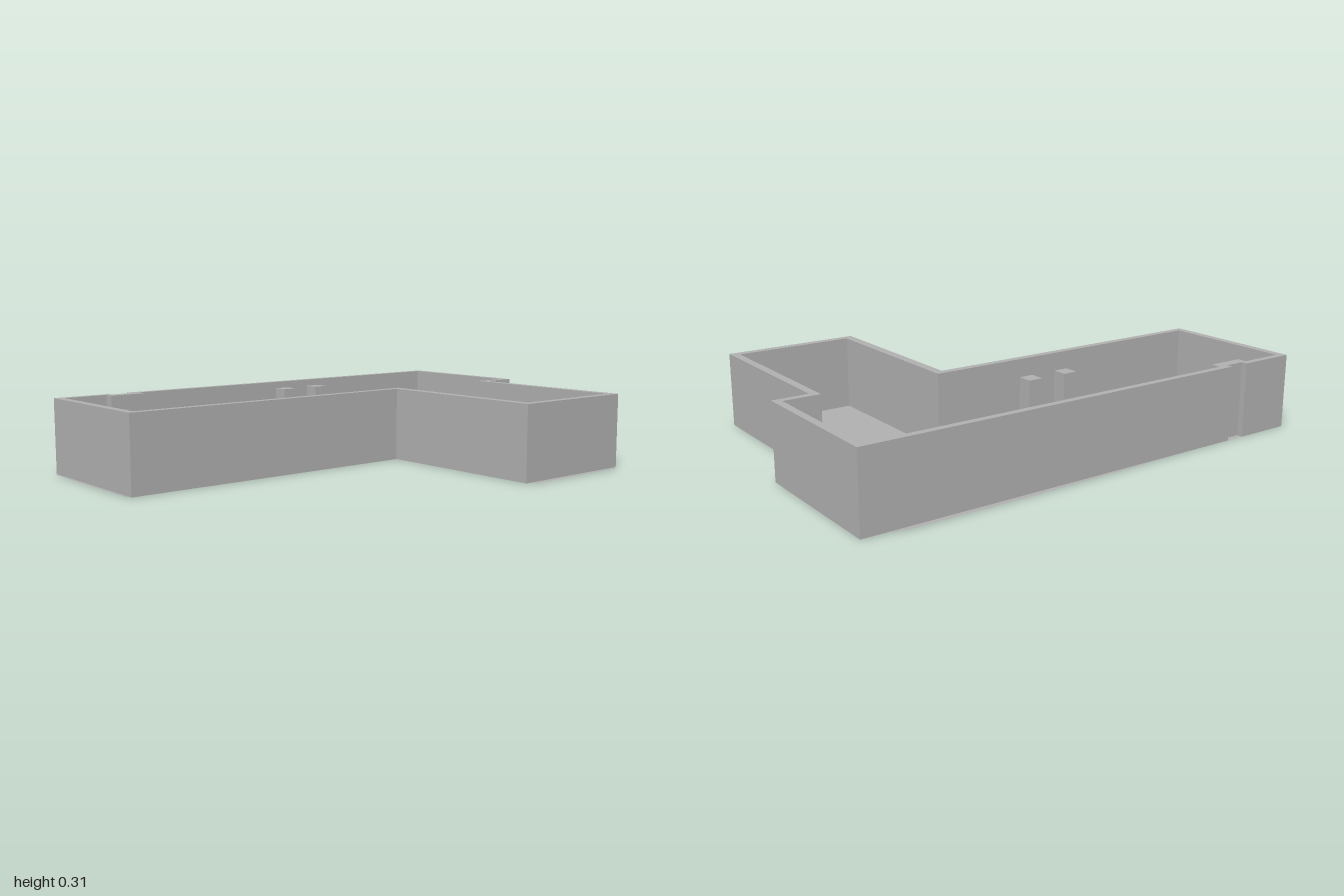
import * as THREE from 'three';

const HEIGHT = 0.305;
const toPoints = (list) => list.map(([x, z]) => new THREE.Vector2(x, z));

// Extrudes a plan drawn in x,z so that it stands on the ground
function extrudePlan(shape, height) {
  const geometry = new THREE.ExtrudeGeometry(shape, { depth: height, bevelEnabled: false });
  geometry.rotateX(Math.PI / 2);
  geometry.translate(0, height, 0);
  return geometry;
}

export function createModel() {
  const group = new THREE.Group();
  const plaster = new THREE.MeshStandardMaterial({ color: 0xb0b0b0, side: THREE.DoubleSide });
  plaster.name = 'grey plaster';

  const add = (name, geometry) => {
    const mesh = new THREE.Mesh(geometry, plaster);
    mesh.name = name;
    group.add(mesh);
    return mesh;
  };

  // Outer wall line, with the shallow recess in the back wall
  const plan = new THREE.Shape(toPoints([
    [-0.99, -0.673], [-0.75, -0.673], [-0.75, -0.648], [-0.668, -0.648], [-0.668, -0.673],
    [0.997, -0.673], [0.997, -0.053], [0.85, -0.053], [0.85, 0.67],
    [0.29, 0.67], [0.29, -0.063], [-0.99, -0.063],
  ]));
  // Inner wall line, with the pier that backs the recess
  plan.holes.push(new THREE.Path(toPoints([
    [-0.957, -0.646], [-0.775, -0.646], [-0.775, -0.605], [-0.625, -0.605], [-0.625, -0.646],
    [0.967, -0.646], [0.967, -0.083], [0.817, -0.083], [0.817, 0.637],
    [0.327, 0.637], [0.327, -0.093], [-0.957, -0.093],
  ])));
  add('walls', extrudePlan(plan, HEIGHT));

  // Floor sheet, slightly overrunning the walls
  const floor = new THREE.ShapeGeometry(new THREE.Shape(toPoints([
    [-1, -0.664], [-0.5, -0.673], [0.3, -0.693], [0.82, -0.693], [0.92, -0.673],
    [0.997, -0.67], [0.997, -0.055], [0.83, -0.055], [0.83, 0.69],
    [0.32, 0.69], [0.32, -0.08], [-1, -0.085],
  ])));
  floor.rotateX(Math.PI / 2);
  add('floor', floor);

  // Two free-standing square pillars
  const pillarHeight = HEIGHT + 0.004;
  for (const x of [-0.084, 0.082]) {
    const pillar = add('pillar', new THREE.BoxGeometry(0.06, pillarHeight, 0.06));
    pillar.position.set(x, pillarHeight / 2, -0.356);
  }

  return group;
}
